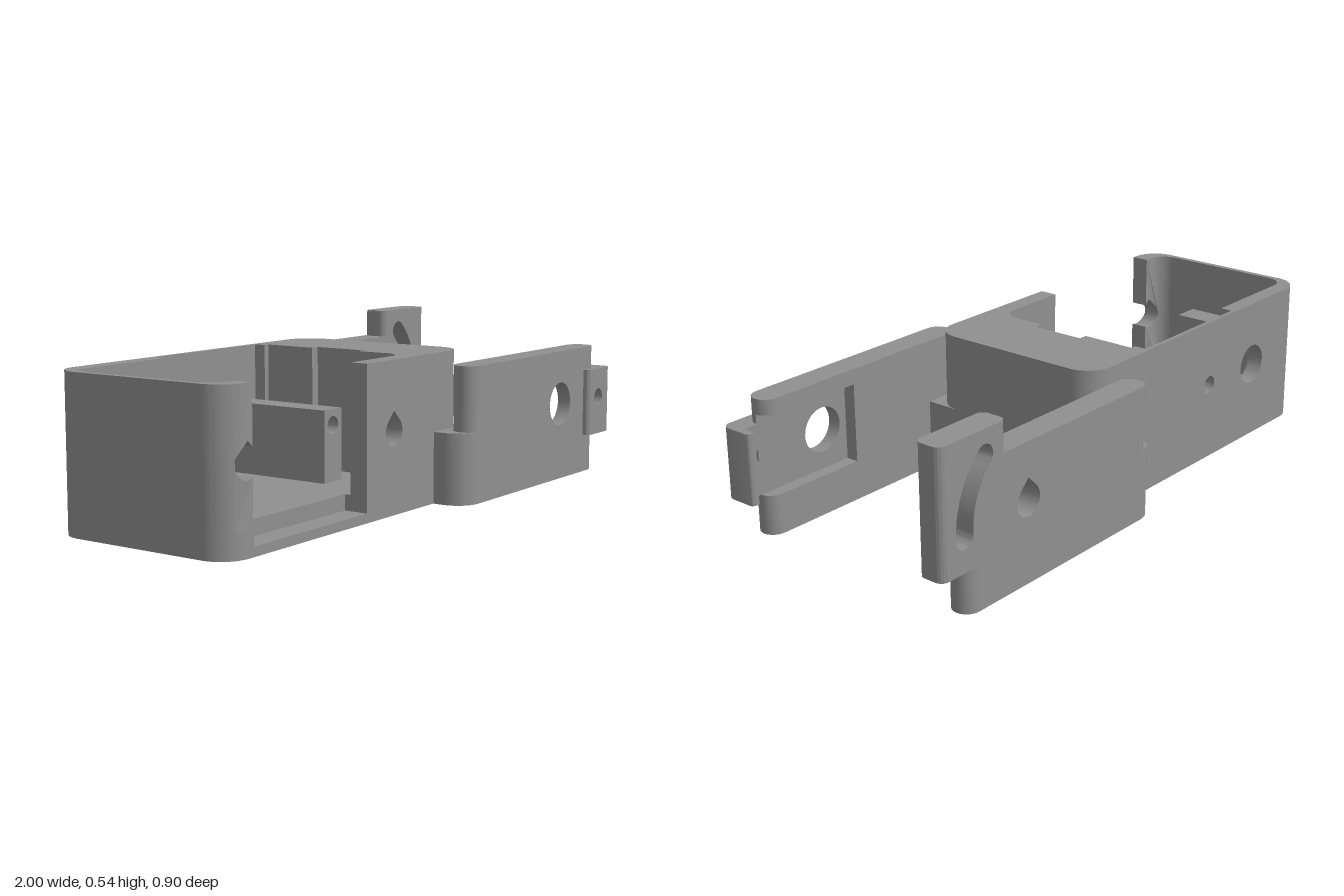
import * as THREE from 'three';
import { toCreasedNormals } from 'three/addons/utils/BufferGeometryUtils.js';

const grey = new THREE.MeshStandardMaterial({ color: 0x909090 });
grey.name = 'grey plastic';

// Points on an arc, angles in degrees
function arc(cx, cy, r, a0, a1, n = 12) {
  return Array.from({ length: n + 1 }, (_, i) => {
    const a = THREE.MathUtils.degToRad(a0 + (a1 - a0) * i / n);
    return [cx + r * Math.cos(a), cy + r * Math.sin(a)];
  });
}
const rect = (x0, y0, x1, y1) => [[x0, y0], [x1, y0], [x1, y1], [x0, y1]];
const circle = (x, y, r) => arc(x, y, r, 0, 360, 32).slice(0, -1);
const teardrop = (x, y, r) => [...arc(x, y, r, 135, 405, 24), [x, y + r * Math.SQRT2]];
const vectors = pts => pts.map(([x, y]) => new THREE.Vector2(x, y));

function extrude(pts, holes, depth) {
  const shape = new THREE.Shape(vectors(pts));
  shape.holes = holes.map(h => new THREE.Path(vectors(h)));
  return new THREE.ExtrudeGeometry(shape, { depth, bevelEnabled: false });
}

export function createModel() {
  const model = new THREE.Group();
  model.name = 'hinged servo bracket';
  const add = (parent, name, geometry) => {
    const mesh = new THREE.Mesh(toCreasedNormals(geometry, 0.5), grey);
    mesh.name = name;
    parent.add(mesh);
  };
  const group = name => {
    const g = new THREE.Group();
    g.name = name;
    model.add(g);
    return g;
  };
  // Plan outline in (x, z), raised from y0 to y1
  const plan = (parent, name, pts, y0, y1) =>
    add(parent, name, extrude(pts.map(([x, z]) => [x, -z]), [], y1 - y0).rotateX(-Math.PI / 2).translate(0, y0, 0));
  // Elevation outline in (x, y), from z0 to z1
  const panel = (parent, name, pts, z0, z1, holes = []) =>
    add(parent, name, extrude(pts, holes, z1 - z0).translate(0, 0, z0));

  // Housing floor, with a rebate along the front opening
  const housing = group('housing');
  const backEdge = [...arc(-0.91, -0.245, 0.09, 180, 270), ...arc(0.11, -0.245, 0.09, 270, 360)];
  const frontRight = arc(0.11, 0.22, 0.09, 0, 90), frontLeft = arc(-0.91, 0.22, 0.09, 90, 180);
  plan(housing, 'floor', [...backEdge, ...frontRight, ...frontLeft], 0, 0.03);
  plan(housing, 'upper floor', [...backEdge, ...frontRight, [-0.35, 0.31], [-0.35, 0.23],
    [-0.885, 0.23], [-0.885, 0.31], ...frontLeft], 0.03, 0.08);

  // Thin end wall wrapping round both left corners
  plan(housing, 'end wall', [
    ...arc(-0.91, 0.22, 0.09, 120, 180), ...arc(-0.91, -0.245, 0.09, 180, 270),
    [-0.91, -0.28], ...arc(-0.92, -0.22, 0.06, 270, 180), ...arc(-0.92, 0.19, 0.06, 180, 125.7),
  ], 0.08, 0.48);

  // Front lip with half a screw hole, bent to follow the corner
  const edge = [-0.943, -0.93, -0.91];
  const lip = extrude([
    [-0.955, 0.08], ...edge.map(x => [x, 0.08]), [-0.89, 0.08],
    ...arc(-0.91, 0.26, 0.045, -63.6, -225, 18), [-0.91, 0.324], [-0.89, 0.304],
    [-0.89, 0.48], ...edge.map(x => [x, 0.48]).reverse(), [-0.955, 0.48],
  ], [], 1);
  const p = lip.attributes.position;
  for (let i = 0; i < p.count; i++) {
    const x = p.getX(i), outer = p.getZ(i) > 0.5;
    const d = Math.min(0, x - (outer ? -0.91 : -0.92));
    p.setZ(i, outer ? 0.22 + Math.sqrt(0.0081 - d * d) : 0.19 + Math.sqrt(0.0036 - d * d));
  }
  lip.computeVertexNormals();
  add(housing, 'front lip', lip);

  // Back wall: outer skin, then inner layer with cable recess
  const big = circle(-0.7, 0.26, 0.068);
  panel(housing, 'back wall skin', rect(-0.91, 0.08, -0.07, 0.48), -0.335, -0.32, [big, circle(-0.44, 0.26, 0.03)]);
  panel(housing, 'back wall inner layer', [
    [-0.91, 0.08], [-0.07, 0.08], [-0.07, 0.48], [-0.09, 0.48], [-0.09, 0.28],
    ...arc(-0.44, 0.26, 0.03, 41.8, -221.8, 20), [-0.58, 0.28], [-0.58, 0.48], [-0.91, 0.48],
  ], -0.32, -0.28, [big]);

  // Front wall and solid end block with a slot in its inner face
  panel(housing, 'front wall', rect(-0.35, 0.08, -0.13, 0.48), 0.25, 0.31, [teardrop(-0.205, 0.26, 0.045)]);
  plan(housing, 'end block', [
    [-0.07, -0.335], ...arc(0.11, -0.245, 0.09, 270, 360), ...frontRight,
    [-0.13, 0.31], ...arc(-0.13, 0.19, 0.06, 90, 0),
    [-0.07, 0.08], [-0.04, 0.08], [-0.04, -0.1], [-0.07, -0.1],
  ], 0.08, 0.48);

  // Screw posts
  for (const x of [-0.905, -0.205]) {
    panel(housing, 'screw post', rect(x - 0.045, 0.08, x + 0.045, 0.31), -0.28, 0.08, [circle(x, 0.26, 0.028)]);
  }

  // Low cross base joining the arms
  plan(model, 'arm base', [
    [0.2, -0.45], [0.2, 0.427], ...arc(0.1, 0.347, 0.08, 90, 180), ...arc(0.1, -0.37, 0.08, 180, 270),
  ], 0, 0.23);

  // Front arm: outer layer, recessed inner layer and round ends
  const front = group('front arm');
  const zf = 0.382, zb = -0.405, r = 0.045;
  panel(front, 'outer layer', rect(0.105, 0, 0.855, 0.44), 0.38, 0.427, [circle(0.64, 0.26, 0.073)]);
  panel(front, 'inner layer', [
    [0.105, 0], [0.855, 0], [0.855, 0.13], [0.54, 0.13], [0.54, 0.39], [0.855, 0.39], [0.855, 0.44], [0.105, 0.44],
  ], 0.337, 0.38);
  plan(front, 'round root', arc(0.105, zf, r, 90, 270), 0, 0.44);
  plan(front, 'lower tip', arc(0.855, zf, r, -90, 90), 0, 0.13);
  plan(front, 'upper tip', arc(0.855, zf, r, -90, 90), 0.39, 0.44);
  plan(front, 'recessed tip', [[0.855, 0.38], ...arc(0.855, zf, r, 0, 90)], 0.13, 0.39);

  // Latch tab with an end lip
  panel(front, 'latch tab', rect(0.825, 0.13, 0.945, 0.36), 0.38, 0.45, [circle(0.88, 0.26, 0.03)]);
  plan(front, 'latch tab edge', [[0.825, 0.38], [0.81, 0.38], ...arc(0.825, 0.435, 0.015, 180, 90)], 0.13, 0.36);
  plan(front, 'latch lip', [
    [0.945, 0.38], [0.95, 0.38], [0.95, 0.333], ...arc(0.96, 0.348, 0.015, -90, 0),
    ...arc(0.945, 0.42, 0.03, 0, 90),
  ], 0.13, 0.36);

  // Back arm
  const back = group('back arm');
  panel(back, 'arm plate', rect(0.105, 0, 0.755, 0.44), -0.45, -0.36, [teardrop(0.64, 0.26, 0.05)]);
  panel(back, 'arm foot', rect(0.755, 0, 0.855, 0.14), -0.45, -0.36);
  plan(back, 'round root', arc(0.105, zb, r, 90, 270), 0, 0.44);
  plan(back, 'round tip', arc(0.855, zb, r, -90, 90), 0, 0.14);

  // Raised end tab with a curved slot centred on the pivot hole
  const end = a => [0.64 + 0.268 * Math.cos(a * Math.PI / 180), 0.26 + 0.268 * Math.sin(a * Math.PI / 180)];
  const slot = [
    ...arc(0.64, 0.26, 0.303, -3, 47, 16), ...arc(...end(47), 0.035, 47, 227).slice(1),
    ...arc(0.64, 0.26, 0.233, 47, -3, 16).slice(1), ...arc(...end(-3), 0.035, 177, 357).slice(1, -1),
  ];
  panel(back, 'slotted tab', rect(0.755, 0.14, 0.975, 0.535), -0.45, -0.36, [slot]);
  plan(back, 'tab outer edge', [...arc(0.975, -0.425, 0.025, -90, 0), ...arc(0.975, -0.385, 0.025, 0, 90)], 0.14, 0.535);
  plan(back, 'tab inner edge', [...arc(0.755, -0.385, 0.025, 90, 180), ...arc(0.755, -0.425, 0.025, 180, 270)], 0.14, 0.535);

  return model;
}
